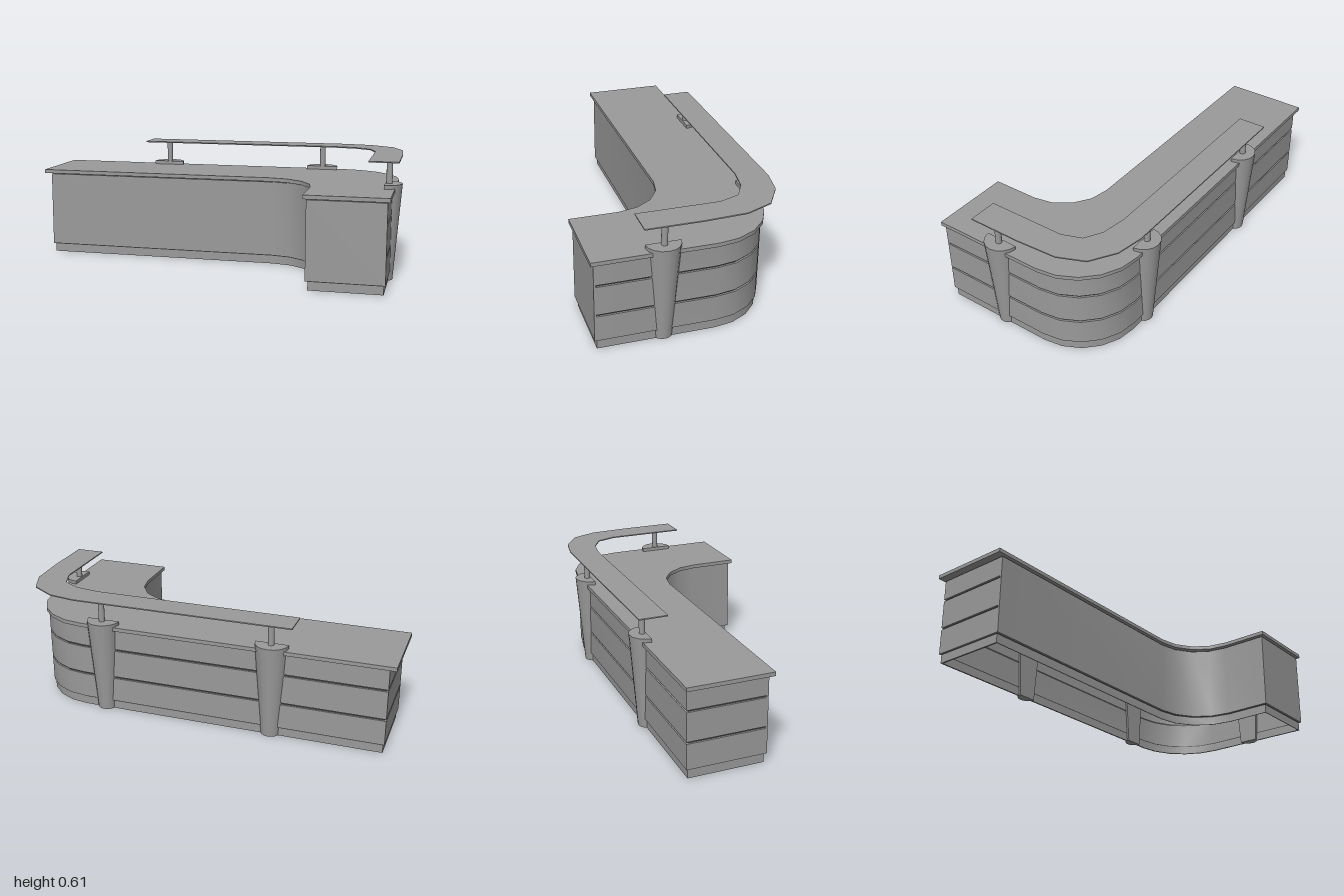
import * as THREE from 'three';
import { toCreasedNormals } from 'three/addons/utils/BufferGeometryUtils.js';

const grey = new THREE.MeshStandardMaterial({ color: 0x9a9a9a, side: THREE.DoubleSide });
const dark = new THREE.MeshStandardMaterial({ color: 0x484848, side: THREE.DoubleSide });

// Points [x, z] of an arc in plan, angles in quarter turns
function arc(cx, cz, r, from, to, steps) {
  return Array.from({ length: steps + 1 }, (_, i) => {
    const a = (from + (to - from) * i / steps) * Math.PI / 2;
    return [cx + r * Math.cos(a), cz + r * Math.sin(a)];
  });
}

// Staff side of the plan: leg end, rounded inner corner, long inner side
function innerSide({ left, right, inner, innerX, end, r }) {
  return [
    [right, end], [innerX, end],
    ...arc(innerX - r, inner + r, r, 0, -1, 4),
    [left, inner],
  ];
}

// L-shaped plan with a rounded outer and a rounded inner corner
function plan(p) {
  return [
    [p.left, p.back],
    ...arc(p.right - p.R, p.back + p.R, p.R, -1, 0, 5),
    ...innerSide(p),
  ];
}

// The same plan pulled in: o on the outer sides, n on the inner side and leg end
function inset(p, o, n) {
  return {
    left: p.left + o, right: p.right - o, back: p.back + o,
    inner: p.inner - n, innerX: p.innerX + n, end: p.end - n,
    R: p.R - o, r: p.r + n,
  };
}

const toVectors = (points) => points.map(([x, z]) => new THREE.Vector2(x, -z));

// Upright extrusion of a plan from y0 to y1, optionally hollow
function slab(name, points, y0, y1, hole, material = grey) {
  const shape = new THREE.Shape(toVectors(points));
  if (hole) shape.holes.push(new THREE.Path(toVectors(hole)));
  const flat = new THREE.ExtrudeGeometry(shape, { depth: y1 - y0, bevelEnabled: false });
  flat.rotateX(-Math.PI / 2);
  flat.translate(0, y0, 0);
  const mesh = new THREE.Mesh(toCreasedNormals(flat, 0.5), material);
  mesh.name = name;
  return mesh;
}

// Half-round tapered pillar with a post for the raised shelf, bulging toward -z
function pillar(x, z, turn) {
  const group = new THREE.Group();
  group.name = 'pillar';
  const height = 0.493, topR = 0.086, bottomR = 0.05;
  const add = (name, geometry) => {
    const mesh = new THREE.Mesh(geometry, grey);
    mesh.name = name;
    group.add(mesh);
    return mesh;
  };
  add('pillarShell', new THREE.CylinderGeometry(topR, bottomR, height, 8, 1, true, Math.PI / 2, Math.PI))
    .position.y = height / 2;

  // flat back and end discs
  const face = new THREE.Shape([[-bottomR, 0], [bottomR, 0], [topR, height], [-topR, height]]
    .map(([a, b]) => new THREE.Vector2(a, b)));
  add('pillarBack', new THREE.ShapeGeometry(face));
  const topDisc = add('pillarTop', new THREE.CircleGeometry(topR, 8, 0, Math.PI));
  topDisc.rotation.x = -Math.PI / 2;
  topDisc.position.y = height;
  add('pillarBottom', new THREE.CircleGeometry(bottomR, 8, Math.PI, Math.PI)).rotation.x = Math.PI / 2;

  add('shelfPost', new THREE.CylinderGeometry(0.0155, 0.0155, 0.116, 16))
    .position.set(0, height + 0.058, -0.02);

  group.position.set(x, 0, z);
  group.rotation.y = turn;
  return group;
}

export function createModel() {
  const model = new THREE.Group();
  model.name = 'receptionDesk';

  const body = {
    left: -0.965, right: 0.952, back: -0.433, inner: -0.03,
    innerX: 0.565, end: 0.475, R: 0.32, r: 0.26,
  };
  const top = {
    left: -1, right: 0.965, back: -0.447, inner: -0.015,
    innerX: 0.55, end: 0.49, R: 0.335, r: 0.26,
  };
  const hollow = plan(inset(body, 0.016, 0.016));

  // Plinth
  model.add(slab('plinth', plan(inset(body, 0.008, 0.012)), 0, 0.043, hollow));

  // Plain panel along the staff side and across the leg end
  const lining = { ...inset(body, 0, 0.01), left: body.left, right: body.right };
  model.add(slab('innerPanel', [...innerSide(body), ...innerSide(lining).reverse()], 0.048, 0.449));

  // Panel bands around the hollow body
  for (const [y0, y1] of [[0.048, 0.179], [0.189, 0.336], [0.346, 0.449]]) {
    model.add(slab('panelBand', plan(inset(body, 0, 0.01)), y0, y1, hollow));
  }

  // Recessed shadow grooves between bands, then above the plinth and under the top
  for (const [y0, y1] of [[0.179, 0.189], [0.336, 0.346]]) {
    model.add(slab('groove', plan(inset(body, 0.01, 0.01)), y0, y1, hollow, dark));
  }
  for (const [y0, y1] of [[0.043, 0.048], [0.449, 0.454]]) {
    model.add(slab('edgeGroove', plan(inset(body, 0.01, 0.012)), y0, y1, hollow, dark));
  }

  // Countertop
  model.add(slab('countertop', plan(top), 0.454, 0.474));

  // Pillars: two along the back, one on the side leg
  model.add(pillar(-0.383, -0.404, 0));
  model.add(pillar(0.519, -0.404, 0));
  model.add(pillar(0.913, 0.14, -Math.PI / 2));

  // Raised shelf
  model.add(slab('raisedShelf', [
    [-0.5, -0.48], [0.65, -0.48], [0.79, -0.455], [0.917, -0.375], [0.974, -0.24],
    [0.985, -0.03], [0.985, 0.25], [0.835, 0.25], [0.835, -0.16], [0.798, -0.262],
    [0.71, -0.312], [0.58, -0.333], [-0.5, -0.333],
  ], 0.608, 0.614));

  return model;
}
